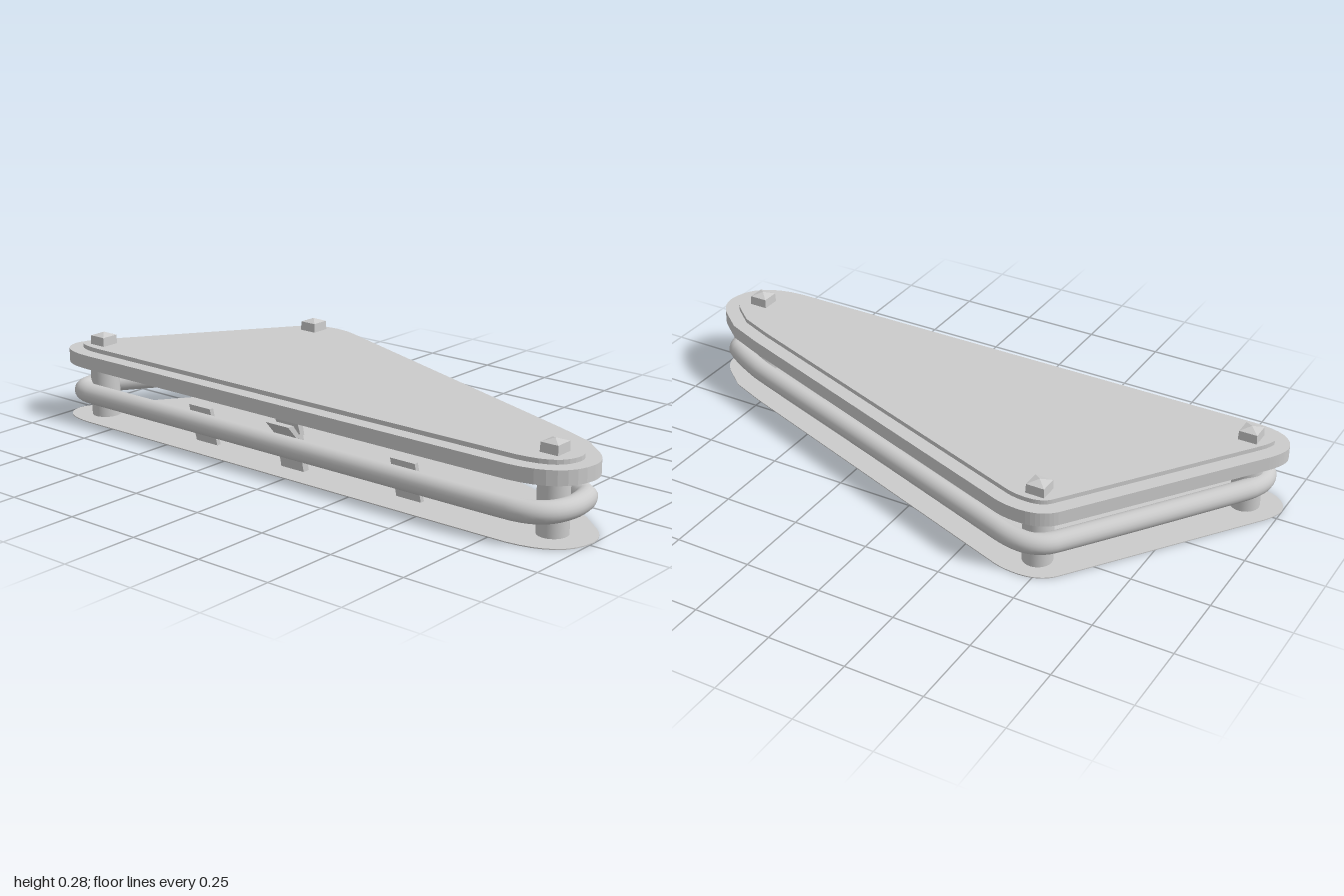
import * as THREE from 'three';

const mat = new THREE.MeshStandardMaterial({ color: 0xcccccc });

function add(parent, name, geometry, x = 0, y = 0, z = 0) {
  const mesh = new THREE.Mesh(geometry, mat);
  mesh.name = name;
  mesh.position.set(x, y, z);
  parent.add(mesh);
  return mesh;
}

// Rounded triangle seen from above, as points (x, z); each entry is a line end or a curve
function trace(start, steps) {
  const path = new THREE.Shape();
  path.moveTo(...start);
  for (const s of steps) {
    if (s.length === 2) path.lineTo(...s);
    else path.quadraticCurveTo(...s);
  }
  const points = path.getPoints(8);
  if (points[0].distanceTo(points[points.length - 1]) < 1e-4) points.pop();
  return points;
}

// Move a closed outline inward by a fixed distance
function inset(points, d) {
  const n = points.length;
  return points.map((p, i) => {
    const t = points[(i + 1) % n].clone().sub(p).normalize()
      .add(p.clone().sub(points[(i + n - 1) % n]).normalize()).normalize();
    return new THREE.Vector2(p.x - t.y * d, p.y + t.x * d);
  });
}

// Flat slab from an outline
function slab(points, height) {
  const shape = new THREE.Shape(points.map((p) => new THREE.Vector2(p.x, -p.y)));
  return new THREE.ExtrudeGeometry(shape, { depth: height, bevelEnabled: false }).rotateX(-Math.PI / 2);
}

// Strip of constant width along x, from a side profile of (z, y) points
function strip(profile, width) {
  const shape = new THREE.Shape(profile.map(([z, y]) => new THREE.Vector2(z, y)));
  return new THREE.ExtrudeGeometry(shape, { depth: width, bevelEnabled: false })
    .translate(0, 0, -width / 2).rotateY(-Math.PI / 2);
}

export function createModel() {
  const model = new THREE.Group();
  model.name = 'triangularBumper';

  const outline = trace([-0.56, -0.35], [
    [-0.525, -0.393, -0.46, -0.395], [-0.41, -0.396, -0.37, -0.382],
    [0.76, 0.03], [0.88, 0.08], [0.95, 0.138],
    [1.0, 0.18, 1.0, 0.235], [0.99, 0.37, 0.81, 0.38],
    [-0.85, 0.38], [-0.99, 0.38, -1.0, 0.295], [-1.0, 0.265, -0.97, 0.22],
  ]);

  // Plates
  add(model, 'basePlate', slab(outline, 0.003));
  add(model, 'topPlate', slab(outline, 0.045), 0, 0.183);
  add(model, 'topInlay', slab(inset(outline, 0.046), 0.014), 0, 0.228);

  // Rubber ring stretched round the posts
  const ringPath = trace([-0.53, -0.32], [
    [-0.5, -0.358, -0.45, -0.359], [-0.41, -0.359, -0.36, -0.34],
    [0.2, -0.137], [0.77, 0.068], [0.86, 0.108, 0.92, 0.15],
    [0.937, 0.18, 0.937, 0.24], [0.93, 0.362, 0.80, 0.362],
    [0.3, 0.362], [-0.3, 0.362], [-0.85, 0.362],
    [-0.932, 0.362, -0.932, 0.29], [-0.932, 0.26, -0.91, 0.22],
  ]).map((p) => new THREE.Vector3(p.x, 0, p.y));
  const ringCurve = new THREE.CatmullRomCurve3(ringPath, true, 'centripetal');
  add(model, 'rubberRing', new THREE.TubeGeometry(ringCurve, 300, 0.033, 20, true), 0, 0.095);

  // Posts with square, pyramid-topped caps
  const postSpots = [[-0.885, 0.275], [0.875, 0.245], [-0.47, -0.298]];
  for (const [x, z] of postSpots) {
    const post = new THREE.Group();
    post.name = 'post';
    post.position.set(x, 0, z);
    add(post, 'postShaft', new THREE.CylinderGeometry(0.047, 0.047, 0.19, 32), 0, 0.095);
    const nut = new THREE.CylinderGeometry(0.041, 0.043, 0.03, 4, 1).rotateY(Math.PI / 4).toNonIndexed();
    nut.computeVertexNormals();
    add(post, 'capBase', nut, 0, 0.256);
    const tip = new THREE.ConeGeometry(0.041, 0.011, 4).rotateY(Math.PI / 4).toNonIndexed();
    tip.computeVertexNormals();
    add(post, 'capTip', tip, 0, 0.2765);
    model.add(post);
  }

  // Leaning contact leaves behind the front run of the ring
  const leaf = strip([[0.283, 0.008], [0.298, 0.008], [0.328, 0.134], [0.313, 0.134]], 0.09);
  for (const x of [-0.4, 0.41]) add(model, 'contactLeaf', leaf, x);

  // Central kicker arm with a forked top
  const kicker = new THREE.Group();
  kicker.name = 'kicker';
  kicker.position.x = -0.025;
  add(kicker, 'kickerLeg', strip([[0.29, 0.008], [0.314, 0.008], [0.337, 0.13], [0.315, 0.13]], 0.09));
  add(kicker, 'kickerRearProng', strip([[0.309, 0.125], [0.326, 0.125], [0.338, 0.165], [0.317, 0.165]], 0.09));
  add(kicker, 'kickerFrontProng', strip([[0.325, 0.12], [0.342, 0.12], [0.381, 0.165], [0.358, 0.165]], 0.09));
  model.add(kicker);

  return model;
}
